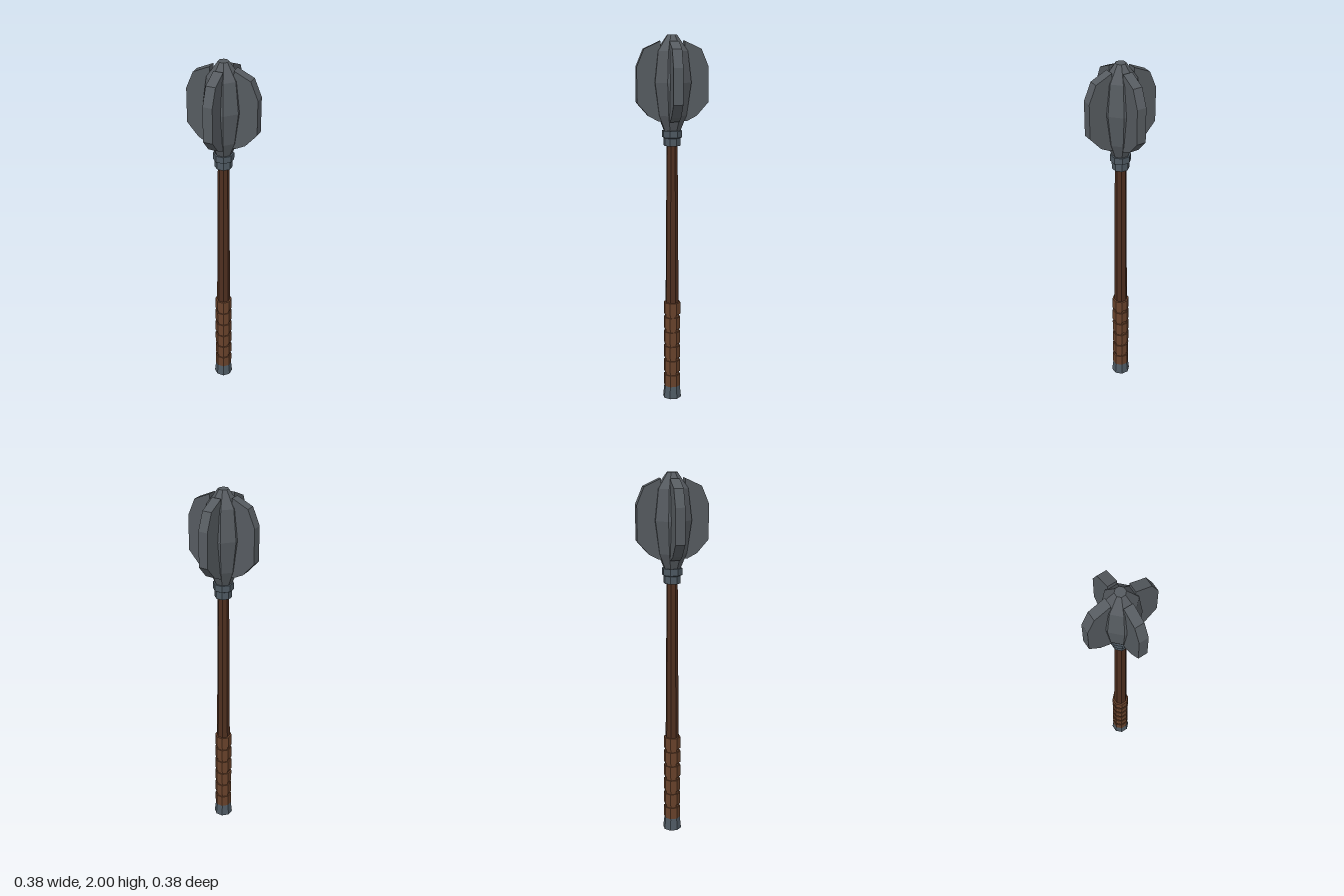
import * as THREE from 'three';

const SIDES = 8;
const material = (color) =>
  new THREE.MeshStandardMaterial({ color, flatShading: true, side: THREE.DoubleSide });

// Octagonal turned part; profile lists [distance to flat, height] from bottom to top
function turned(name, profile, mat) {
  const points = profile.map(([r, y]) => new THREE.Vector2(r / Math.cos(Math.PI / SIDES), y));
  const mesh = new THREE.Mesh(new THREE.LatheGeometry(points, SIDES, Math.PI / SIDES), mat);
  mesh.name = name;
  return mesh;
}

export function createModel() {
  const model = new THREE.Group();
  model.name = 'mace';
  const steel = material(0x565b60);
  const collarSteel = material(0x4e5962);
  const wood = material(0x4e2f1f);
  const leather = material(0x68422b);

  // Pommel cap
  model.add(turned('pommel', [[0, 0], [0.048, 0], [0.041, 0.07], [0, 0.07]], collarSteel));

  // Shaft, slightly thicker towards the grip
  model.add(turned('shaft', [
    [0.034, 0.06], [0.034, 0.56], [0.032, 0.8], [0.028, 1.37], [0.027, 1.45],
  ], wood));

  // Grip: wrapped bands separated by narrow grooves
  const grip = new THREE.Group();
  grip.name = 'grip';
  grip.add(turned('gripCore', [[0.037, 0.06], [0.037, 0.55]], leather));
  for (let i = 0; i < 6; i++) {
    const y = 0.07 + i * 0.085;
    grip.add(turned('gripBand', [
      [0.03, y], [0.043, y], [0.043, y + 0.067], [0.03, y + 0.067],
    ], leather));
  }
  model.add(grip);

  // Stepped collar under the head
  model.add(turned('collar', [
    [0, 1.43], [0.042, 1.43], [0.042, 1.47], [0.05, 1.475], [0.05, 1.51], [0, 1.51],
  ], collarSteel));

  // Faceted head core
  model.add(turned('headCore', [
    [0.038, 1.5], [0.072, 1.59], [0.095, 1.76], [0.077, 1.92], [0.025, 2], [0, 2],
  ], steel));

  // Four flanges around the core
  const outline = [
    [0.02, 1.56], [0.075, 1.56], [0.127, 1.587], [0.188, 1.656],
    [0.188, 1.84], [0.15, 1.93], [0.063, 1.97], [0.063, 1.9], [0.02, 1.9],
  ];
  const shape = new THREE.Shape(outline.map(([x, y]) => new THREE.Vector2(x, y)));
  const flangeGeometry = new THREE.ExtrudeGeometry(shape, { depth: 0.05, bevelEnabled: false });
  flangeGeometry.translate(0, 0, -0.025);
  for (let i = 0; i < 4; i++) {
    const flange = new THREE.Mesh(flangeGeometry, steel);
    flange.name = 'flange';
    flange.rotation.y = i * Math.PI / 2;
    model.add(flange);
  }

  return model;
}
